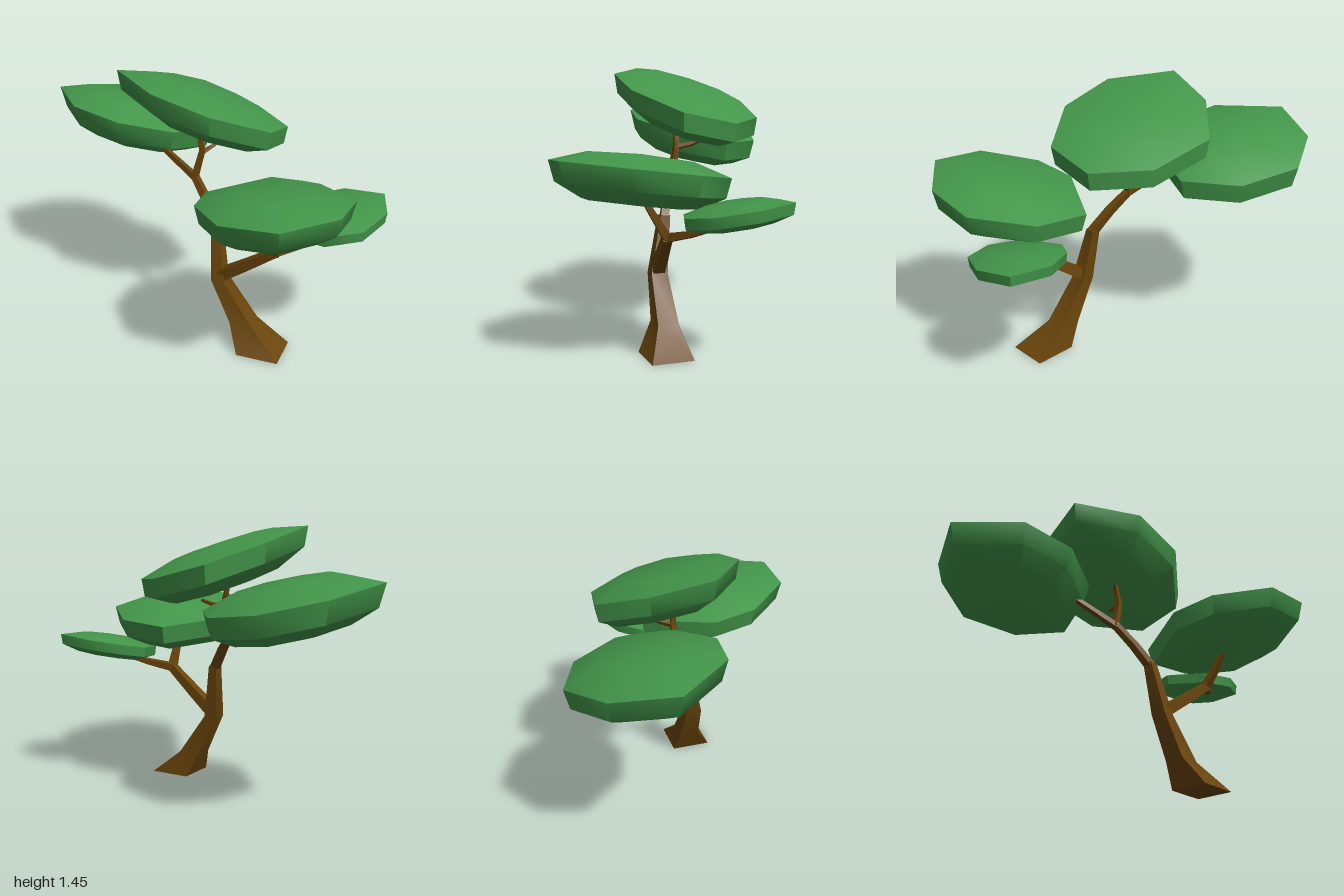
import * as THREE from 'three';
import { toCreasedNormals } from 'three/addons/utils/BufferGeometryUtils.js';

const V = (x, y, z) => new THREE.Vector3(x, y, z);

// Corner directions of a square section
const CORNERS = [[1, 1], [-1, 1], [-1, -1], [1, -1]];

// Skin a stack of rings (upper to lower) and close it with a fan at each end
function loft(rings, top, bottom, crease) {
  const pos = [];
  const tri = (...pts) => pts.forEach((p) => pos.push(p.x, p.y, p.z));
  const n = rings[0].length;
  const last = rings[rings.length - 1];
  for (let k = 0; k < n; k++) {
    const m = (k + 1) % n;
    tri(top, rings[0][m], rings[0][k]);
    for (let i = 0; i < rings.length - 1; i++) {
      const a = rings[i], b = rings[i + 1];
      tri(a[k], a[m], b[k]);
      tri(a[m], b[m], b[k]);
    }
    tri(bottom, last[k], last[m]);
  }
  const geo = new THREE.BufferGeometry();
  geo.setAttribute('position', new THREE.Float32BufferAttribute(pos, 3));
  return toCreasedNormals(geo, crease);
}

// Tilted leaf pad: outline [x, z], centre height, tilt along x and z
function canopyGeometry({ outline, center: [cx, cy, cz], tilt: [sx, sz], dome, band, inset, depth }) {
  const at = (x, z, dy) => V(x, cy + (x - cx) * sx + (z - cz) * sz + dy, z);
  const ring = (s, dy) => outline.map(([x, z]) => at(cx + (x - cx) * s, cz + (z - cz) * s, dy));
  return loft(
    [ring(0.58, dome), ring(1, 0), ring(inset, -band), ring(0.66, -depth)],
    at(cx, cz, dome * 1.2), at(cx, cz, -depth * 1.02), 0.82
  );
}

// Tapering square limb through nodes [x, y, z, half width], rings square to the path
function limbGeometry(nodes) {
  const pts = nodes.map(([x, y, z]) => V(x, y, z));
  const rings = pts.map((p, i) => {
    const t = pts[Math.min(i + 1, pts.length - 1)].clone().sub(pts[Math.max(i - 1, 0)]).normalize();
    const u = t.clone().cross(V(0, 0, 1)).normalize();
    const v = u.clone().cross(t);
    const r = nodes[i][3];
    return CORNERS.map(([a, b]) => p.clone().addScaledVector(u, a * r).addScaledVector(v, b * r));
  });
  return loft(rings.reverse(), pts[pts.length - 1], pts[0], 0.5);
}

// Trunk with level rectangles [x, y, z, halfX, halfZ], upper to lower
function trunkGeometry(levels) {
  const rings = levels.map(([x, y, z, rx, rz]) => CORNERS.map(([a, b]) => V(x + a * rx, y, z + b * rz)));
  const ends = [levels[0], levels[levels.length - 1]].map(([x, y, z]) => V(x, y, z));
  return loft(rings, ends[0], ends[1], 0.5);
}

export function createModel() {
  const tree = new THREE.Group();
  tree.name = 'tree';
  const leaf = new THREE.MeshStandardMaterial({ color: 0x43964a });
  leaf.name = 'leaf green';
  const bark = new THREE.MeshStandardMaterial({ color: 0x6a450b });
  bark.name = 'bark brown';
  const add = (name, geo, mat) => {
    const mesh = new THREE.Mesh(geo, mat);
    mesh.name = name;
    tree.add(mesh);
  };

  // Flared, leaning trunk
  add('trunk', trunkGeometry([
    [0.13, 0.67, 0.066, 0.024, 0.027],
    [0.168, 0.37, 0.115, 0.036, 0.044],
    [0.31, 0.14, 0.125, 0.062, 0.056],
    [0.435, 0, 0.16, 0.115, 0.11],
  ]), bark);

  // Branches
  const limbs = {
    mainBranch: [[0.133, 0.655, 0.068, 0.022], [0.05, 0.775, 0.015, 0.02], [-0.04, 0.88, -0.04, 0.017]],
    rightCanopyBranch: [[-0.03, 0.87, -0.035, 0.017], [-0.27, 0.985, -0.13, 0.012], [-0.36, 1.02, -0.19, 0.01]],
    topCanopyBranch: [[-0.04, 0.87, -0.04, 0.017], [0, 1.03, -0.05, 0.014], [-0.025, 1.15, -0.055, 0.009]],
    topTwig: [[0, 1.02, -0.05, 0.012], [0.035, 1.035, -0.12, 0.009], [0.06, 1.06, -0.18, 0.006]],
    sideBranch: [[0.165, 0.385, 0.115, 0.032], [0.33, 0.5, 0.145, 0.027], [0.495, 0.62, 0.175, 0.022]],
    frontCanopyBranch: [[0.49, 0.61, 0.17, 0.022], [0.505, 0.71, 0.235, 0.017], [0.51, 0.83, 0.31, 0.012]],
    leftCanopyBranch: [[0.48, 0.615, 0.175, 0.022], [0.61, 0.65, 0.1, 0.016], [0.75, 0.7, 0.02, 0.009]],
  };
  for (const [name, nodes] of Object.entries(limbs)) add(name, limbGeometry(nodes), bark);

  // Leaf pads
  const canopies = {
    rightCanopy: {
      outline: [[-0.07, -0.38], [-0.19, -0.1], [-0.46, 0.03], [-0.75, -0.02], [-1, -0.31], [-0.85, -0.6], [-0.57, -0.74], [-0.25, -0.63]],
      center: [-0.53, 1.11, -0.35], tilt: [-0.17, 0.14], dome: 0.07, band: 0.11, inset: 0.93, depth: 0.17,
    },
    topCanopy: {
      outline: [[0.41, 0.06], [0.15, 0.25], [-0.16, 0.25], [-0.45, 0.03], [-0.37, -0.27], [-0.15, -0.49], [0.19, -0.44], [0.42, -0.22]],
      center: [-0.02, 1.3, -0.12], tilt: [-0.27, 0.2], dome: 0.05, band: 0.1, inset: 0.96, depth: 0.17,
    },
    frontCanopy: {
      outline: [[0.88, 0.14], [0.87, 0.45], [0.66, 0.74], [0.37, 0.73], [0.16, 0.48], [0.13, 0.24], [0.35, -0.13], [0.64, -0.1]],
      center: [0.51, 0.96, 0.31], tilt: [0.06, 0.13], dome: 0.06, band: 0.1, inset: 0.94, depth: 0.165,
    },
    leftCanopy: {
      outline: [[1, -0.09], [0.92, 0.1], [0.74, 0.18], [0.57, 0.12], [0.49, -0.1], [0.56, -0.22], [0.73, -0.31], [0.95, -0.28]],
      center: [0.75, 0.785, -0.07], tilt: [0.09, -0.14], dome: 0.03, band: 0.055, inset: 0.97, depth: 0.085,
    },
  };
  for (const [name, spec] of Object.entries(canopies)) add(name, canopyGeometry(spec), leaf);

  return tree;
}
